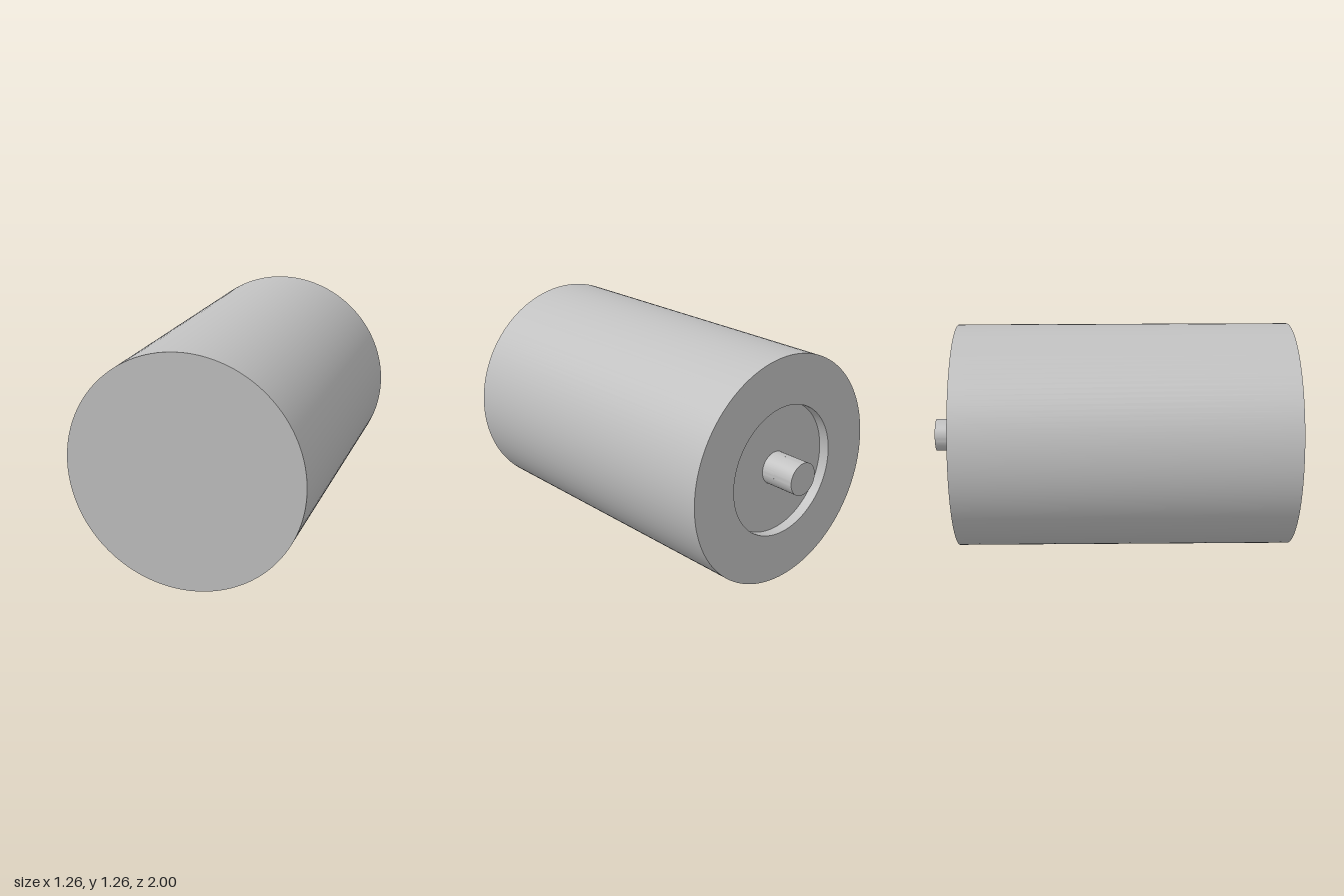
import * as THREE from 'three';
import { toCreasedNormals } from 'three/addons/utils/BufferGeometryUtils.js';

const RADIUS = 0.63;       // body radius, also the height of the axis
const SHAFT_RADIUS = 0.09;
const BACK = -0.86;        // rear face of the body
const FLOOR = -0.8;        // bottom of the rear recess
const NECK_END = -0.88;    // where the flat on the shaft stops

export function createModel() {
  const group = new THREE.Group();
  const metal = new THREE.MeshStandardMaterial({ color: 0xc0c0c0 });
  metal.name = 'grey metal';

  const add = (name, geometry) => {
    const mesh = new THREE.Mesh(toCreasedNormals(geometry, 0.5), metal);
    mesh.name = name;
    mesh.position.y = RADIUS;
    group.add(mesh);
  };

  // Body with a round recess in the back; profile as [radius, z]
  const profile = [
    [0, 1], [RADIUS, 1], [RADIUS, BACK], [0.36, BACK], [0.36, FLOOR], [0, FLOOR],
  ].map(([r, z]) => new THREE.Vector2(r, -z));
  add('body', new THREE.LatheGeometry(profile, 128).rotateX(-Math.PI / 2));

  // Round end of the shaft
  const length = NECK_END + 1;
  add('shaft', new THREE.CylinderGeometry(SHAFT_RADIUS, SHAFT_RADIUS, length, 64)
    .rotateX(-Math.PI / 2).translate(0, 0, -1 + length / 2));

  // Shaft neck with a flat on one side
  const section = new THREE.Shape();
  section.absarc(0, 0, SHAFT_RADIUS, -2.19, 2.458, false);
  section.closePath();
  add('shaftNeck', new THREE.ExtrudeGeometry(section, {
    depth: FLOOR - NECK_END + 0.01, bevelEnabled: false, curveSegments: 48,
  }).translate(0, 0, NECK_END));

  return group;
}
